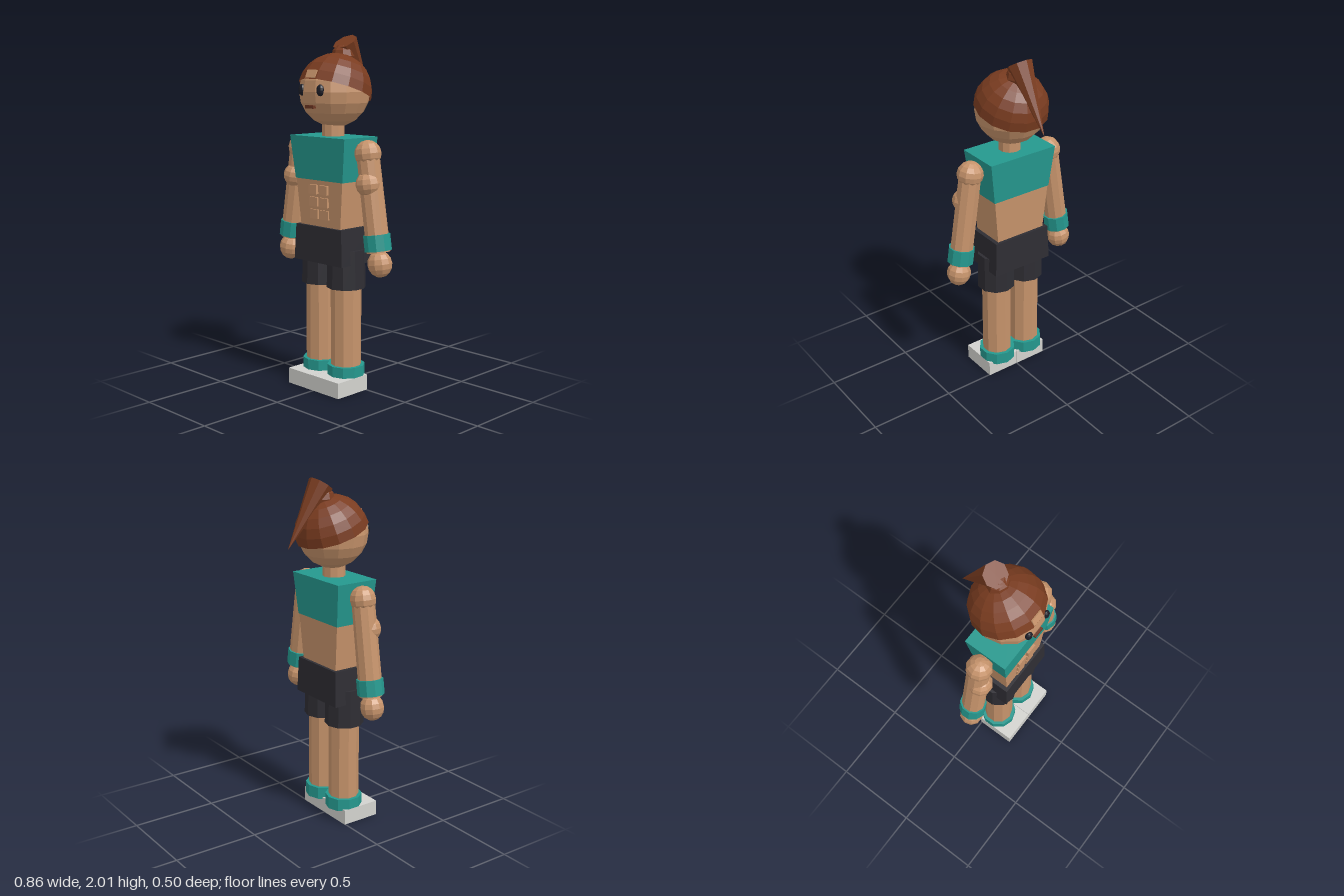
import * as THREE from 'three';

const flat = (name, color) => {
  const m = new THREE.MeshStandardMaterial({ color, flatShading: true });
  m.name = name;
  return m;
};

export function createModel() {
  const skin = flat('skin', 0xc6936b);
  const teal = flat('teal cloth', 0x25988e);
  const dark = flat('dark shorts', 0x2e2d33);
  const hair = flat('brown hair', 0x7a3c20);
  const shoe = flat('pale shoe', 0xd2d2ce);
  const black = flat('black eye', 0x1c1d26);
  const lip = flat('lip', 0x6b3522);
  hair.side = THREE.DoubleSide;

  const model = new THREE.Group();
  model.name = 'athlete';
  const Z = 0.061; // body axis depth

  const add = (parent, name, geo, mat, x = 0, y = 0, z = 0) => {
    const mesh = new THREE.Mesh(geo, mat);
    mesh.name = name;
    mesh.position.set(x, y, z);
    parent.add(mesh);
    return mesh;
  };
  const ball = (r, w = 10, h = 8) => new THREE.SphereGeometry(r, w, h);
  const rod = (rTop, rBottom, height, sides = 10) => new THREE.CylinderGeometry(rTop, rBottom, height, sides);

  // Box whose upper and lower faces have different half sizes
  const taperedBox = (wTop, dTop, wBottom, dBottom, height) => {
    const geo = new THREE.BoxGeometry(2, height, 2);
    const p = geo.attributes.position;
    for (let i = 0; i < p.count; i++) {
      const top = p.getY(i) > 0;
      p.setX(i, p.getX(i) * (top ? wTop : wBottom));
      p.setZ(i, p.getZ(i) * (top ? dTop : dBottom));
    }
    geo.computeVertexNormals();
    return geo;
  };

  // Torso
  add(model, 'chestTop', taperedBox(0.217, 0.131, 0.187, 0.116, 0.243), teal, 0, 1.3285, Z);
  add(model, 'waist', taperedBox(0.183, 0.113, 0.155, 0.102, 0.29), skin, 0, 1.065, Z);
  add(model, 'hips', taperedBox(0.181, 0.12, 0.191, 0.126, 0.205), dark, 0, 0.8425, Z);
  for (let row = 0; row < 3; row++) {
    for (const s of [-1, 1]) {
      add(model, 'abdominal', new THREE.BoxGeometry(0.064, 0.052, 0.03), skin, s * 0.041, 1.155 - row * 0.0705, 0.172 - row * 0.005);
    }
  }

  // Head and face
  add(model, 'neck', rod(0.064, 0.064, 0.14), skin, 0, 1.49, Z);
  const head = new THREE.Group();
  head.name = 'head';
  model.add(head);
  add(head, 'skull', ball(0.2, 14, 10), skin, 0, 1.698, 0.05);
  for (const s of [-1, 1]) {
    add(head, 'eye', ball(0.023, 8, 8), black, s * 0.072, 1.708, 0.231).scale.set(1, 1.4, 0.85);
  }
  add(head, 'mouth', new THREE.BoxGeometry(0.062, 0.018, 0.03), lip, 0, 1.617, 0.232);

  // Hair cap, forehead gap, bun and ponytail
  const cap = add(head, 'hairCap', new THREE.SphereGeometry(0.209, 14, 6, 0, Math.PI * 2, 0, Math.PI / 2), hair, 0, 1.7, 0.047);
  cap.rotation.x = -0.345;
  const gap = add(head, 'foreheadGap', new THREE.BoxGeometry(0.075, 0.045, 0.02), skin, 0, 1.793, 0.222);
  gap.rotation.x = -0.4;
  add(head, 'hairBun', ball(0.066, 8, 6), hair, 0, 1.89, -0.015);
  const base = new THREE.Vector3(0, 1.97, -0.029);
  const tip = new THREE.Vector3(0, 1.63, -0.248);
  const tail = add(head, 'ponytail', new THREE.ConeGeometry(0.071, base.distanceTo(tip), 8), hair);
  tail.position.copy(base).add(tip).multiplyScalar(0.5);
  tail.quaternion.setFromUnitVectors(new THREE.Vector3(0, 1, 0), tip.clone().sub(base).normalize());

  // Limbs
  for (const s of [-1, 1]) {
    const side = s > 0 ? 'left' : 'right';

    const arm = new THREE.Group();
    arm.name = side + 'Arm';
    arm.position.set(s * 0.267, 1.367, Z);
    arm.rotation.z = s * 0.155;
    model.add(arm);
    add(arm, 'shoulder', ball(0.075), skin);
    add(arm, 'armTube', rod(0.064, 0.067, 0.54), skin, 0, -0.27, 0);
    add(arm, 'bicep', ball(0.071), skin, 0, -0.165, 0.022);
    add(arm, 'wristband', rod(0.076, 0.076, 0.09), teal, 0, -0.487, 0);
    add(arm, 'hand', ball(0.069), skin, 0, -0.605, 0).scale.y = 1.08;

    const leg = new THREE.Group();
    leg.name = side + 'Leg';
    leg.position.set(s * 0.101, 0, Z);
    model.add(leg);
    add(leg, 'shortsLeg', rod(0.107, 0.112, 0.22), dark, s * 0.001, 0.71, 0);
    add(leg, 'legTube', rod(0.088, 0.088, 0.56), skin, 0, 0.36, 0);
    add(leg, 'ankleBand', rod(0.108, 0.108, 0.072), teal, 0, 0.114, 0);
    add(leg, 'shoe', new THREE.BoxGeometry(0.203, 0.09, 0.232), shoe, s * 0.0015, 0.045, 0.111 - Z);
  }
  return model;
}
